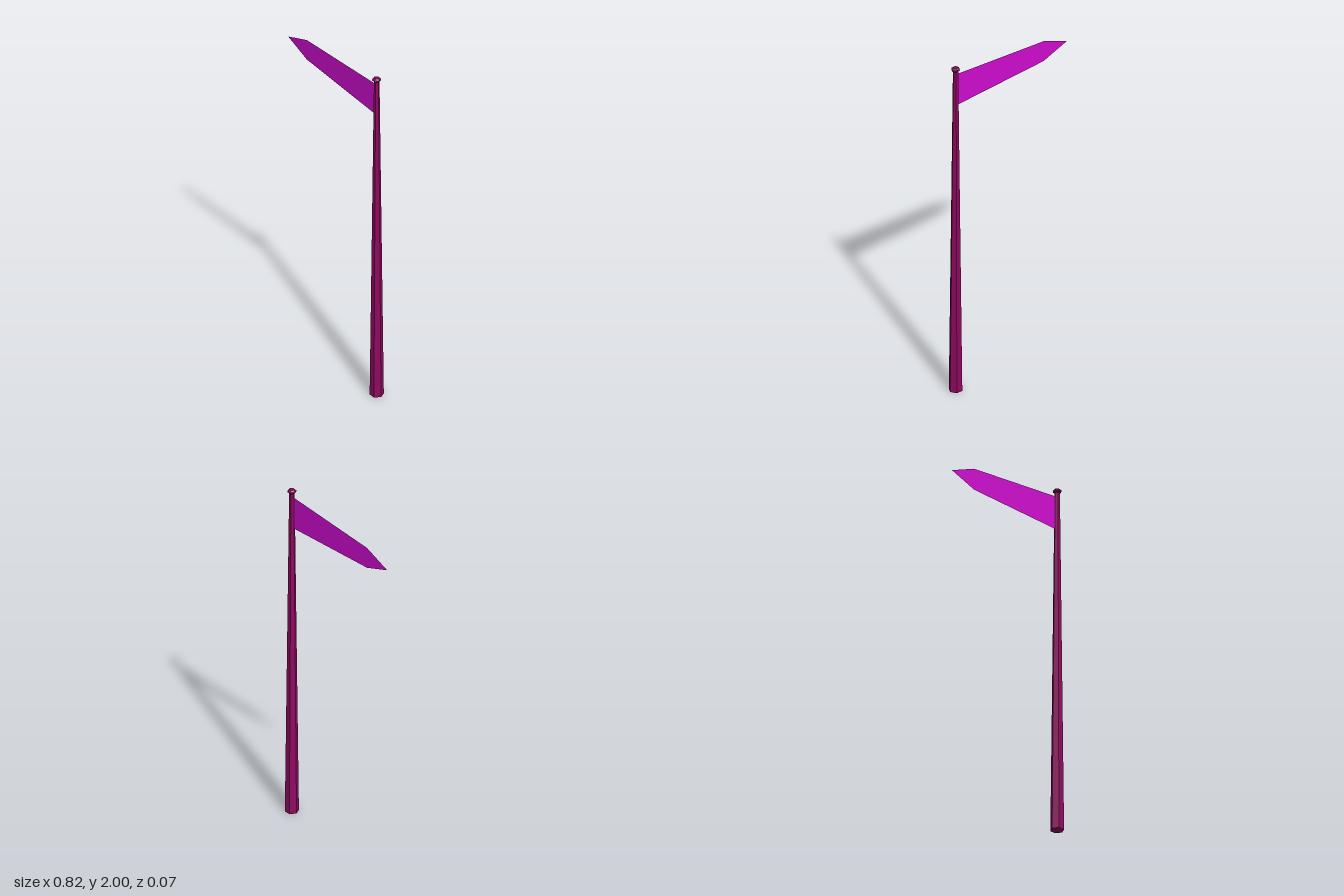
import * as THREE from 'three';

// Colours
const poleMaterial = new THREE.MeshStandardMaterial({ color: 0x8e0a60 });
poleMaterial.name = 'dark magenta';
const flagMaterial = new THREE.MeshStandardMaterial({ color: 0xcf0ccf, side: THREE.DoubleSide });
flagMaterial.name = 'bright magenta';

const POLE_X = 0.372;
const SIDES = 6;

// Give every face its own flat normal
function faceted(geometry) {
  const flat = geometry.toNonIndexed();
  flat.computeVertexNormals();
  return flat;
}

function addPart(group, name, geometry, material) {
  const mesh = new THREE.Mesh(geometry, material);
  mesh.name = name;
  group.add(mesh);
  return mesh;
}

export function createModel() {
  const group = new THREE.Group();
  group.name = 'pennantOnPole';

  // Tapered six-sided pole, with corners towards left and right
  const pole = new THREE.CylinderGeometry(0.015, 0.038, 1.98, SIDES, 1, false, Math.PI / 2);
  addPart(group, 'pole', faceted(pole), poleMaterial).position.set(POLE_X, 0.99, 0);

  // Small flattened knob on top
  const profile = [[0, 1.975], [0.014, 1.975], [0.024, 1.984], [0.024, 1.991], [0.014, 2], [0, 2]]
    .map(([r, y]) => new THREE.Vector2(r, y));
  const knob = new THREE.LatheGeometry(profile, SIDES, Math.PI / 2);
  addPart(group, 'knob', faceted(knob), poleMaterial).position.x = POLE_X;

  // Flat pennant tapering to a point
  const outline = [[POLE_X, 1.955], [-0.245, 1.92], [-0.41, 1.858], [-0.245, 1.797], [POLE_X, 1.762]]
    .map(([x, y]) => new THREE.Vector2(x, y));
  addPart(group, 'pennant', new THREE.ShapeGeometry(new THREE.Shape(outline)), flagMaterial);

  return group;
}
